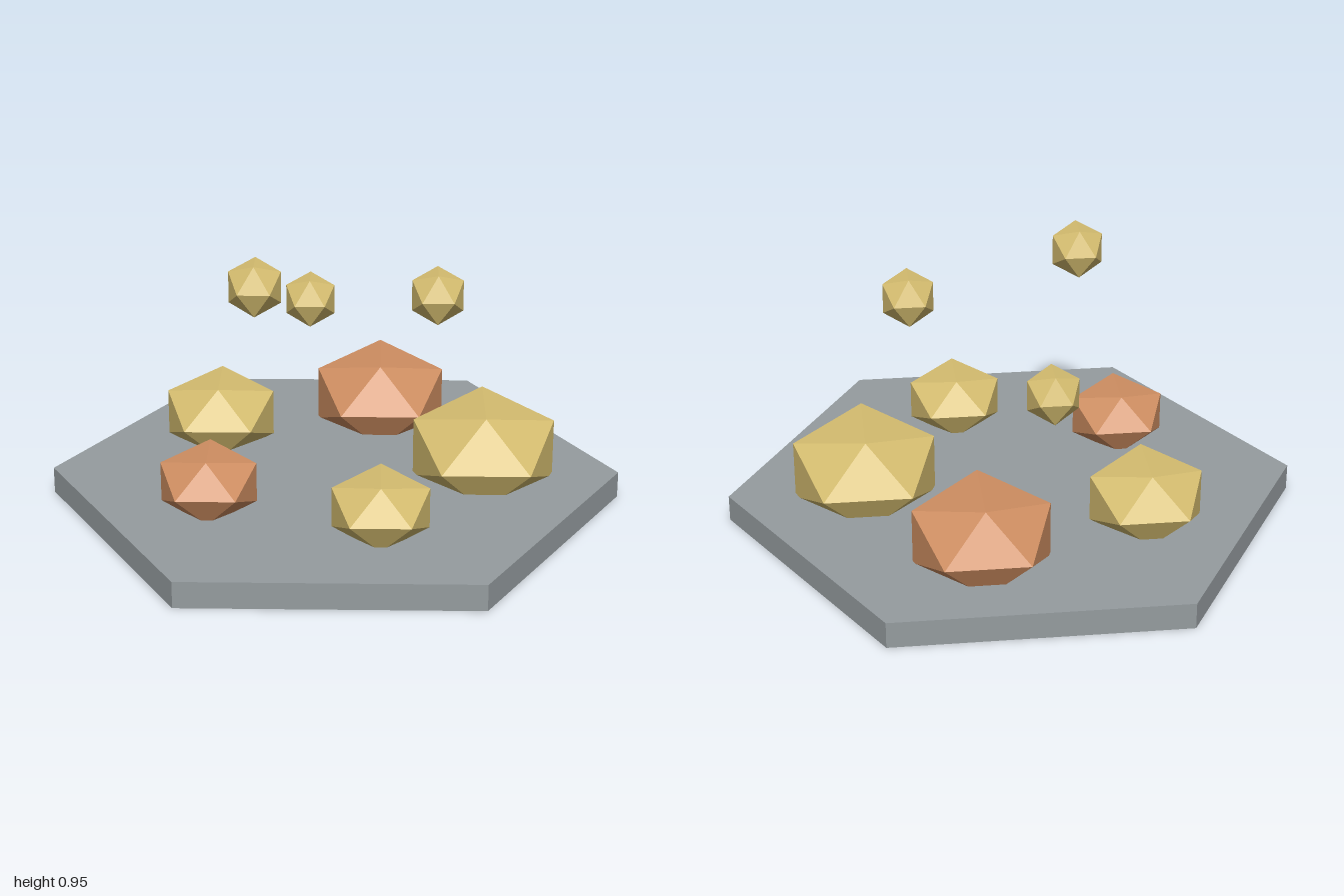
import * as THREE from 'three';

const flat = (name, color) => {
  const m = new THREE.MeshStandardMaterial({ color, flatShading: true });
  m.name = name;
  return m;
};

export function createModel() {
  const stone = flat('slateGrey', 0x959c9f);
  const gold = flat('paleGold', 0xd6be70);
  const copper = flat('copper', 0xd08f62);
  const model = new THREE.Group();
  model.name = 'nuggetPlatform';

  // Hexagonal slab with corners on the x axis
  const height = 0.093;
  const slab = new THREE.Mesh(
    new THREE.CylinderGeometry(1, 1, height, 6, 1, false, Math.PI / 2), stone);
  slab.name = 'platform';
  slab.position.y = height / 2;
  model.add(slab);

  // Icosahedral nugget; squash flattens it vertically
  const addNugget = (name, material, radius, squash, x, y, z) => {
    const geometry = new THREE.IcosahedronGeometry(radius, 0);
    geometry.rotateY(Math.PI / 2).scale(1, squash, 1);
    geometry.computeVertexNormals();
    const mesh = new THREE.Mesh(geometry, material);
    mesh.name = name;
    mesh.position.set(x, y, z);
    model.add(mesh);
  };

  // Flattened nuggets half sunk into the slab
  [
    [gold, 0.289, 0.52, 0],
    [copper, 0.271, 0.158, -0.5],
    [gold, 0.226, -0.425, -0.31],
    [copper, 0.191, -0.423, 0.305],
    [gold, 0.191, 0.16, 0.497],
  ].forEach(([material, radius, x, z], i) =>
    addNugget(`groundNugget${i + 1}`, material, radius, 0.7, x, 0.184, z));

  // Small nuggets floating above
  [
    [-0.26, 0.867, 0.257],
    [0.348, 0.784, 0.093],
    [-0.097, 0.61, -0.353],
  ].forEach(([x, y, z], i) =>
    addNugget(`floatingNugget${i + 1}`, gold, 0.102, 1, x, y, z));

  return model;
}
